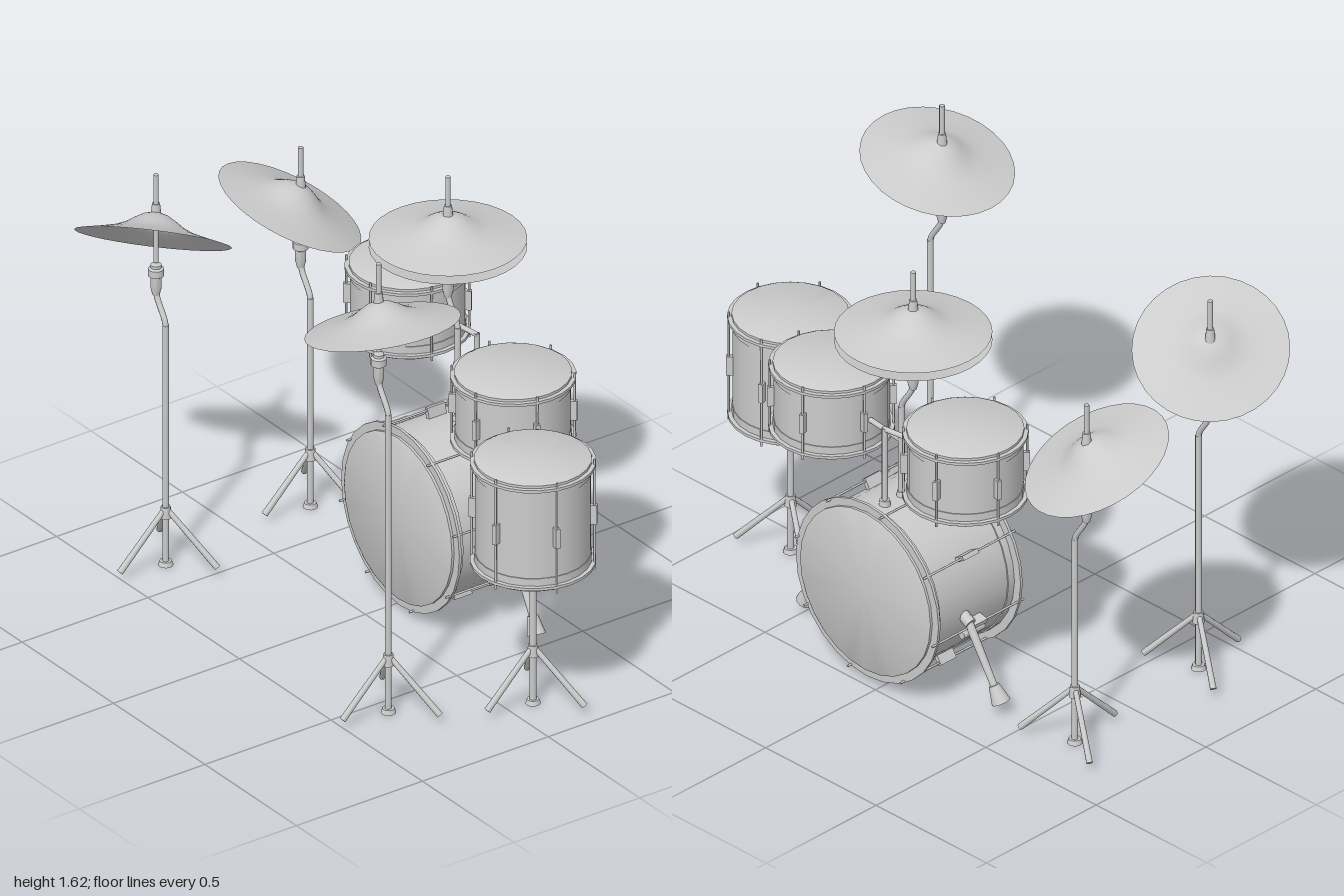
import * as THREE from 'three';
import { toCreasedNormals } from 'three/addons/utils/BufferGeometryUtils.js';

const grey = new THREE.MeshStandardMaterial({ color: 0xcccccc });
const greyThin = new THREE.MeshStandardMaterial({ color: 0xcccccc, side: THREE.DoubleSide });
const V = (x, y, z) => new THREE.Vector3(x, y, z);
const UP = V(0, 1, 0);

function add(parent, name, geometry, material = grey) {
  const mesh = new THREE.Mesh(geometry, material);
  mesh.name = name;
  parent.add(mesh);
  return mesh;
}

// Straight round bar between two points
function bar(parent, name, a, b, r0, r1 = r0, sides = 10) {
  const m = add(parent, name, new THREE.CylinderGeometry(r1, r0, a.distanceTo(b), sides));
  m.position.copy(a).add(b).multiplyScalar(0.5);
  m.quaternion.setFromUnitVectors(UP, b.clone().sub(a).normalize());
  return m;
}

function lathe(points, segments) {
  const pts = points.map(([r, y]) => new THREE.Vector2(r, y));
  return toCreasedNormals(new THREE.LatheGeometry(pts, segments), 0.6);
}

// Drum centred at the origin with its axis on y
function makeDrum(name, r, h, hoopR, lugs, segments) {
  const g = new THREE.Group();
  g.name = name;
  const e = h / 2, t = r * 1.015;
  add(g, 'shell', lathe([
    [0, -e], [t - 0.008, -e], [t, -e + 0.004], [t, -e + 0.05], [r, -e + 0.05],
    [r, e - 0.05], [t, e - 0.05], [t, e - 0.004], [t - 0.008, e], [0, e],
  ], segments));
  for (const s of [-1, 1]) {
    const hoop = add(g, 'hoop', lathe([
      [r, -0.005], [hoopR, -0.005], [hoopR, 0.005], [r, 0.005],
    ], segments));
    hoop.position.y = s * (e - 0.018);
  }
  // Tension rods with a lug at mid height
  for (let i = 0; i < lugs; i++) {
    const a = -0.23 + (i / lugs) * Math.PI * 2;
    const rod = new THREE.Group();
    rod.name = 'tensionRod';
    bar(rod, 'rod', V(0, -e - 0.004, hoopR - 0.005), V(0, e + 0.004, hoopR - 0.005), 0.004, 0.004, 6);
    const lug = add(rod, 'lug', new THREE.BoxGeometry(0.016, 0.07, hoopR - r + 0.008));
    lug.position.z = (r + hoopR) / 2;
    rod.rotation.y = a;
    g.add(rod);
  }
  return g;
}

// Three splayed legs, centre foot
function addTripod(g, x, z) {
  bar(g, 'footPad', V(x, 0, z), V(x, 0.016, z), 0.025, 0.02, 12);
  bar(g, 'legCollar', V(x, 0.175, z), V(x, 0.215, z), 0.02, 0.016, 12);
  for (let i = 0; i < 3; i++) {
    const a = Math.PI + (i * Math.PI * 2) / 3;
    const at = (r, y) => V(x + Math.cos(a) * r, y, z + Math.sin(a) * r);
    bar(g, 'standLeg', at(0.01, 0.2), at(0.182, 0.03), 0.009, 0.011, 8);
  }
}

const cymbalProfile = [[0.255, 0], [0.19, 0.014], [0.13, 0.029], [0.095, 0.044],
  [0.065, 0.064], [0.04, 0.078], [0.012, 0.086]];

function makeCymbal(name, centre, normal, flip = 1) {
  const profile = cymbalProfile.map(([r, y]) => new THREE.Vector2(r, y * flip));
  const m = new THREE.Mesh(new THREE.LatheGeometry(profile, 32), greyThin);
  m.name = name;
  m.position.copy(centre);
  m.quaternion.setFromUnitVectors(UP, normal);
  return m;
}

// Cymbal on a cranked pole; the pole sits a little forward of the cymbal rod
function makeCymbalStand(name, centre, normal, baseY = 0) {
  const g = new THREE.Group();
  g.name = name;
  normal.normalize();
  g.add(makeCymbal('cymbal', centre, normal));
  const { x, y, z } = centre.clone().addScaledVector(normal, 0.08);
  const pz = z + 0.053;
  bar(g, 'pole', V(x, baseY, pz), V(x, y - 0.385, pz), 0.011);
  const path = new THREE.CatmullRomCurve3([
    V(x, y - 0.4, pz), V(x, y - 0.375, pz - 0.003), V(x, y - 0.3, z + 0.005), V(x, y - 0.27, z),
  ]);
  add(g, 'crankedPole', new THREE.TubeGeometry(path, 10, 0.01, 8));
  const clamp = add(g, 'clamp', lathe([
    [0, -0.11], [0.012, -0.11], [0.018, -0.085], [0.018, -0.045], [0.026, -0.04],
    [0.026, -0.015], [0.018, -0.01], [0.018, 0], [0, 0],
  ], 14));
  clamp.position.set(x, y - 0.185, z);
  bar(g, 'rod', V(x, y - 0.175, z), V(x, y + 0.145, z), 0.009);
  bar(g, 'sleeve', V(x, y - 0.01, z), V(x, y + 0.04, z), 0.018, 0.013, 12);
  return g;
}

export function createModel() {
  const kit = new THREE.Group();
  kit.name = 'drumKit';

  // Bass drum, axis along x
  const bass = new THREE.Group();
  bass.name = 'bassDrum';
  const body = makeDrum('bassBody', 0.291, 0.41, 0.323, 8, 28);
  body.rotation.z = -Math.PI / 2;
  body.position.set(0.293, 0.346, 0.052);
  bass.add(body);
  for (const s of [-1, 1]) {
    const at = (x, y, d) => V(x, y, 0.052 + s * d);
    bar(bass, 'bassLeg', at(0.33, 0.31, 0.295), at(0.325, 0.09, 0.42), 0.015, 0.012, 12);
    bar(bass, 'bassFoot', at(0.325, 0.1, 0.415), at(0.32, 0.045, 0.443), 0.018, 0.032, 12);
    bar(bass, 'legBracket', at(0.25, 0.24, 0.288), at(0.345, 0.24, 0.288), 0.014);
    bar(bass, 'legSocket', at(0.33, 0.32, 0.26), at(0.33, 0.29, 0.315), 0.02, 0.02, 12);
  }
  kit.add(bass);

  // Floor tom on its stand
  const floorTom = new THREE.Group();
  floorTom.name = 'floorTom';
  const floorBody = makeDrum('floorTomBody', 0.187, 0.395, 0.204, 6, 24);
  floorBody.position.set(0.092, 0.708, 0.79);
  floorTom.add(floorBody);
  bar(floorTom, 'pole', V(0.092, 0, 0.79), V(0.092, 0.52, 0.79), 0.012);
  addTripod(floorTom, 0.092, 0.79);
  kit.add(floorTom);

  // Two mounted toms
  const tomNear = makeDrum('frontTom', 0.187, 0.265, 0.204, 6, 24);
  tomNear.position.set(0.295, 0.85, 0.402);
  const tomFar = makeDrum('rearTom', 0.187, 0.265, 0.204, 6, 24);
  tomFar.position.set(0.37, 0.925, -0.278);
  kit.add(tomNear, tomFar);

  // Tom arms rising from the bass drum
  const mounts = new THREE.Group();
  mounts.name = 'tomMounts';
  bar(mounts, 'tomPost', V(0.405, 0.62, 0.052), V(0.405, 0.925, 0.052), 0.01);
  bar(mounts, 'rearTomArm', V(0.405, 0.92, 0.057), V(0.385, 0.92, -0.1), 0.009);
  bar(mounts, 'frontTomArm', V(0.325, 0.84, 0.045), V(0.305, 0.84, 0.22), 0.009);
  for (const x of [0.325, 0.405]) {
    bar(mounts, 'postSocket', V(x, 0.625, 0.052), V(x, 0.655, 0.052), 0.021, 0.017, 12);
  }
  kit.add(mounts);

  // Paired cymbals above the bass drum
  const pair = makeCymbalStand('pairedCymbals', V(0.328, 1.277, 0), V(0, 1, 0), 0.62);
  pair.add(makeCymbal('lowerCymbal', V(0.328, 1.247, 0), UP, -1));
  kit.add(pair);

  // Three free-standing tilted cymbals
  const stands = [
    ['frontCymbalStand', V(-0.32, 1.402, 0.535), V(0, 0.963, -0.27)],
    ['rearRightCymbalStand', V(-0.36, 1.2, -0.665), V(0.43, 0.81, -0.39)],
    ['rearLeftCymbalStand', V(0.245, 1.08, -0.75), V(0.39, 0.9, 0.2)],
  ];
  for (const [name, centre, normal] of stands) {
    const stand = makeCymbalStand(name, centre, normal);
    addTripod(stand, centre.x + normal.x * 0.08, centre.z + normal.z * 0.08 + 0.053);
    kit.add(stand);
  }
  return kit;
}
